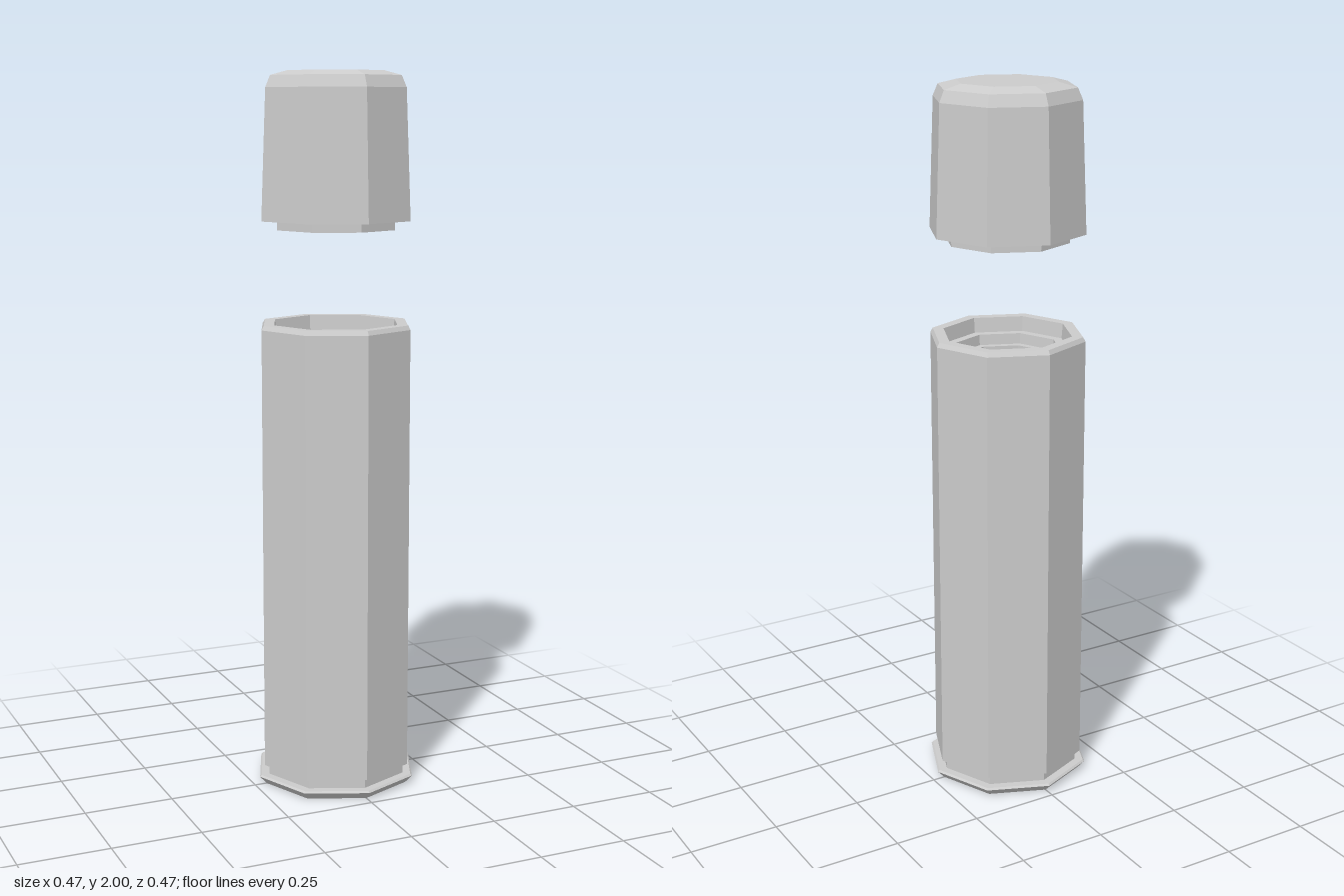
import * as THREE from 'three';

const SIDES = 8;

// Faceted solid of revolution; profile runs from bottom axis, up the outside, to the top axis
function turned(name, profile, material) {
  const points = profile.map(([r, y]) => new THREE.Vector2(r, y));
  const geometry = new THREE.LatheGeometry(points, SIDES).toNonIndexed();
  geometry.computeVertexNormals();
  const mesh = new THREE.Mesh(geometry, material);
  mesh.name = name;
  return mesh;
}

export function createModel() {
  const model = new THREE.Group();
  model.name = 'cartridge';
  const metal = new THREE.MeshStandardMaterial({ color: 0xcccccc });
  metal.name = 'light grey';

  // Hollow case: rimmed base with recessed ring, extractor groove, wall, stepped mouth and bore
  model.add(turned('case', [
    [0, 0.004], [0.092, 0.004], [0.098, 0.014], [0.112, 0.014], [0.115, 0],
    [0.215, 0], [0.235, 0.022], [0.23, 0.027], [0.206, 0.027],
    [0.206, 0.053], [0.22, 0.055], [0.22, 1.305], [0.213, 1.317],
    [0.182, 1.317], [0.178, 1.275], [0.152, 1.275], [0.15, 1.245],
    [0.13, 1.245], [0.13, 0.1], [0, 0.1],
  ], metal));

  // Separate tapered tip with a plug beneath and a softly bevelled top
  model.add(turned('tip', [
    [0, 1.575], [0.173, 1.575], [0.173, 1.6], [0.218, 1.6],
    [0.204, 1.955], [0.19, 1.987], [0.14, 2], [0, 2],
  ], metal));

  return model;
}
